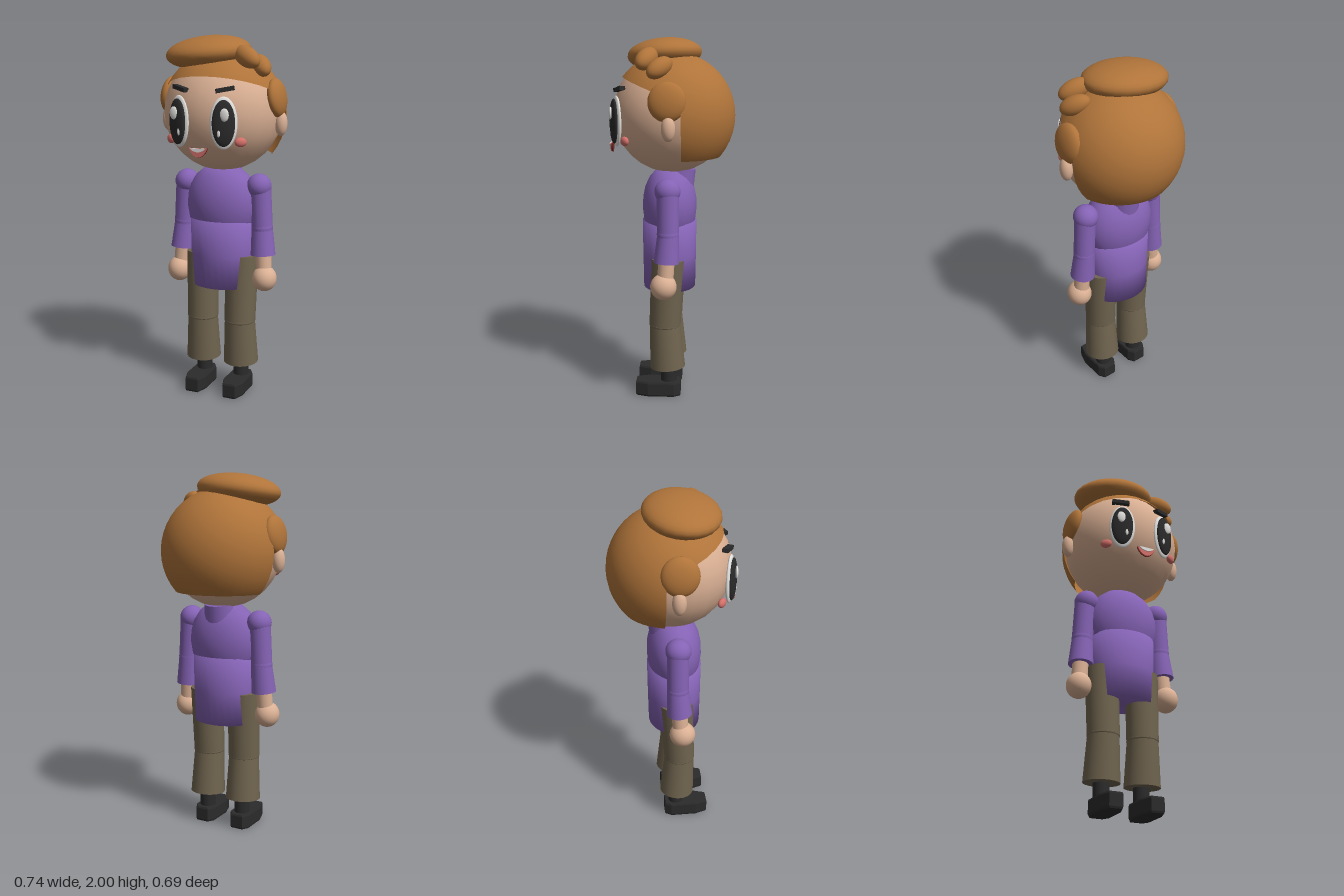
import * as THREE from 'three';
import { ParametricGeometry } from 'three/addons/geometries/ParametricGeometry.js';

const mat = (name, color, side = THREE.FrontSide) => {
  const m = new THREE.MeshStandardMaterial({ color, side });
  m.name = name;
  return m;
};

export function createModel() {
  const skin = mat('skin', 0xdab094);
  const hair = mat('hair', 0xb0743a, THREE.DoubleSide);
  const purple = mat('purple cloth', 0x8563b5);
  const brown = mat('trouser cloth', 0x70644f);
  const black = mat('black', 0x2b2b2b);
  const white = mat('white', 0xe4e3e0);
  const pink = mat('pink', 0xd4706a);
  const darkRed = mat('dark red', 0x7a2a26);

  const model = new THREE.Group();
  model.name = 'character';

  const add = (name, geometry, material, pos = [0, 0, 0], rot = [0, 0, 0]) => {
    const mesh = new THREE.Mesh(geometry, material);
    mesh.name = name;
    mesh.position.set(...pos);
    mesh.rotation.set(...rot);
    model.add(mesh);
    return mesh;
  };
  const ball = (name, material, pos, radii, rot) => {
    const mesh = add(name, new THREE.SphereGeometry(1, 24, 16), material, pos, rot);
    mesh.scale.set(...radii);
    return mesh;
  };
  // Tapered round limb between two points
  const limb = (name, material, from, to, rFrom, rTo) => {
    const a = new THREE.Vector3(...from), b = new THREE.Vector3(...to);
    const d = a.clone().sub(b);
    const mesh = add(name, new THREE.CylinderGeometry(rFrom, rTo, d.length(), 20), material);
    mesh.position.copy(a).add(b).multiplyScalar(0.5);
    mesh.quaternion.setFromUnitVectors(new THREE.Vector3(0, 1, 0), d.normalize());
    return mesh;
  };
  const lathe = (name, material, profile, pos, depth) => {
    const points = profile.map(([r, y]) => new THREE.Vector2(r, y));
    const mesh = add(name, new THREE.LatheGeometry(points, 28), material, pos);
    mesh.scale.z = depth;
    return mesh;
  };

  // Head
  const headY = 1.58, R = 0.345;
  ball('head', skin, [0, headY + 0.015, 0], [0.325, 0.325, 0.322]);

  // Hair cap, cut along a plane that rises to the forehead
  add('hairCap', new ParametricGeometry((u, v, p) => {
    const phi = u * Math.PI * 2, k = 0.37 * Math.cos(phi);
    const end = Math.acos(0.113 / R / Math.hypot(1, k)) - Math.atan(k);
    const t = 0.01 + (end - 0.01) * (1 - v), r = R - 0.001;
    p.set(r * Math.sin(t) * Math.sin(phi), r * Math.cos(t), r * Math.sin(t) * Math.cos(phi));
  }, 24, 8), hair, [0, headY, 0]);

  // Back hair shell, cut by a vertical plane and a level hem
  add('hairBack', new ParametricGeometry((u, v, p) => {
    const angle = -0.69 + v * 1.97;
    const y = R * Math.sin(angle), r = R * Math.cos(angle);
    const a = (u * 2 - 1) * Math.acos(Math.min(1, 0.06 / r));
    p.set(-r * Math.sin(a), y, -r * Math.cos(a));
  }, 18, 14), hair, [0, headY, 0]);

  // Hair puffs on top
  ball('topPuff', hair, [-0.07, 1.91, 0.045], [0.238, 0.088, 0.205], [0.08, 0, 0.08]);
  ball('frontCurl', hair, [0.185, 1.89, 0.125], [0.09, 0.052, 0.052], [0, -0.45, -0.4]);
  ball('sideCurl', hair, [0.235, 1.845, 0.055], [0.085, 0.05, 0.05], [0, -0.8, -0.45]);

  for (const s of [1, -1]) {
    const side = s > 0 ? 'left' : 'right';
    const part = (n) => side + n;

    // Side hair and ears
    ball(part('SideHair'), hair, [s * 0.312, 1.675, 0.012], [0.046, 0.104, 0.1], [0, 0, s * 0.15]);
    ball(part('Ear'), skin, [s * 0.335, 1.54, 0.005], [0.034, 0.067, 0.037]);

    // Eyes, highlights, brows and cheeks
    const yaw = s * 0.4;
    ball(part('EyeWhite'), white, [s * 0.126, 1.56, 0.293], [0.072, 0.136, 0.02], [0, yaw, 0]);
    ball(part('Iris'), black, [s * 0.131, 1.56, 0.306], [0.06, 0.12, 0.02], [0, yaw, 0]);
    ball(part('Highlight'), white, [s * 0.143, 1.605, 0.323], [0.024, 0.034, 0.009], [0, s * 0.1, 0]);
    ball(part('SmallHighlight'), white, [s * 0.113, 1.51, 0.328], [0.009, 0.02, 0.006]);
    add(part('Brow'), new THREE.BoxGeometry(0.098, 0.021, 0.032), black,
      [s * 0.126, 1.73, 0.276], [0, s * 0.47, s * 0.17]);
    ball(part('Cheek'), pink, [s * 0.2, 1.46, 0.243], [0.032, 0.025, 0.018], [0, s * 0.65, 0]);

    // Sleeves
    ball(part('Shoulder'), purple, [s * 0.217, 1.195, 0.015], [0.068, 0.068, 0.07]);
    limb(part('UpperSleeve'), purple, [s * 0.222, 1.2, 0.012], [s * 0.237, 0.94, 0.012], 0.06, 0.059);
    ball(part('Elbow'), purple, [s * 0.236, 0.965, 0.012], [0.06, 0.055, 0.06]);
    limb(part('LowerSleeve'), purple, [s * 0.235, 0.97, 0.01], [s * 0.246, 0.81, 0.02], 0.058, 0.069);

    // Wrist and hand
    limb(part('Wrist'), skin, [s * 0.246, 0.83, 0.018], [s * 0.254, 0.72, 0.025], 0.044, 0.044);
    ball(part('Hand'), skin, [s * 0.261, 0.68, 0.035], [0.068, 0.072, 0.072]);

    // Trouser legs
    limb(part('Thigh'), brown, [s * 0.12, 0.8, 0.017], [s * 0.115, 0.42, 0.035], 0.093, 0.088);
    ball(part('Knee'), brown, [s * 0.115, 0.42, 0.035], [0.0885, 0.03, 0.0885]);
    limb(part('Shin'), brown, [s * 0.115, 0.42, 0.035], [s * 0.117, 0.17, 0.02], 0.086, 0.099);

    // Ankle and shoe
    limb(part('Ankle'), black, [s * 0.115, 0.22, 0.012], [s * 0.115, 0.06, 0.015], 0.044, 0.044);
    const sole = new THREE.Shape([
      [-0.035, -0.05], [0.035, -0.05], [0.056, -0.015], [0.056, 0.13],
      [0.035, 0.195], [-0.035, 0.195], [-0.056, 0.13], [-0.056, -0.015],
    ].map(([x, z]) => new THREE.Vector2(x, -z)));
    add(part('Shoe'), new THREE.ExtrudeGeometry(sole, {
      depth: 0.065, bevelEnabled: true, bevelThickness: 0.01, bevelSize: 0.004, bevelSegments: 1,
    }), black, [s * 0.115, 0.012, 0], [-Math.PI / 2, 0, 0]);
  }

  // Mouth: dark backing, pink tongue area and white teeth
  const mouthShape = (w, h) => {
    const shape = new THREE.Shape();
    shape.moveTo(-w, 0);
    shape.bezierCurveTo(-w * 0.8, -h * 0.7, -w * 0.3, -h, 0, -h);
    shape.bezierCurveTo(w * 0.3, -h, w * 0.8, -h * 0.7, w, 0);
    return shape;
  };
  const plate = (name, shape, material, z) => add(name,
    new THREE.ExtrudeGeometry(shape, { depth: 0.006, bevelEnabled: false }), material, [0, 1.43, z]);
  plate('mouthBack', mouthShape(0.053, 0.05), darkRed, 0.326);
  plate('mouth', mouthShape(0.051, 0.048), pink, 0.332);
  plate('teeth', mouthShape(0.044, 0.02), white, 0.338);

  // Tunic: chest, skirt and collar
  lathe('chest', purple, [
    [0, 0.96], [0.17, 0.965], [0.193, 1.0], [0.205, 1.07], [0.202, 1.13],
    [0.185, 1.19], [0.15, 1.245], [0.1, 1.285], [0, 1.3],
  ], [0, 0, 0.014], 0.735);
  lathe('tunicSkirt', purple, [
    [0, 0.62], [0.178, 0.62], [0.182, 0.8], [0.185, 1.0], [0, 1.02],
  ], [0, 0, 0.015], 0.82);
  limb('collar', purple, [0, 1.3, -0.05], [0, 1.19, -0.03], 0.082, 0.09);

  return model;
}
